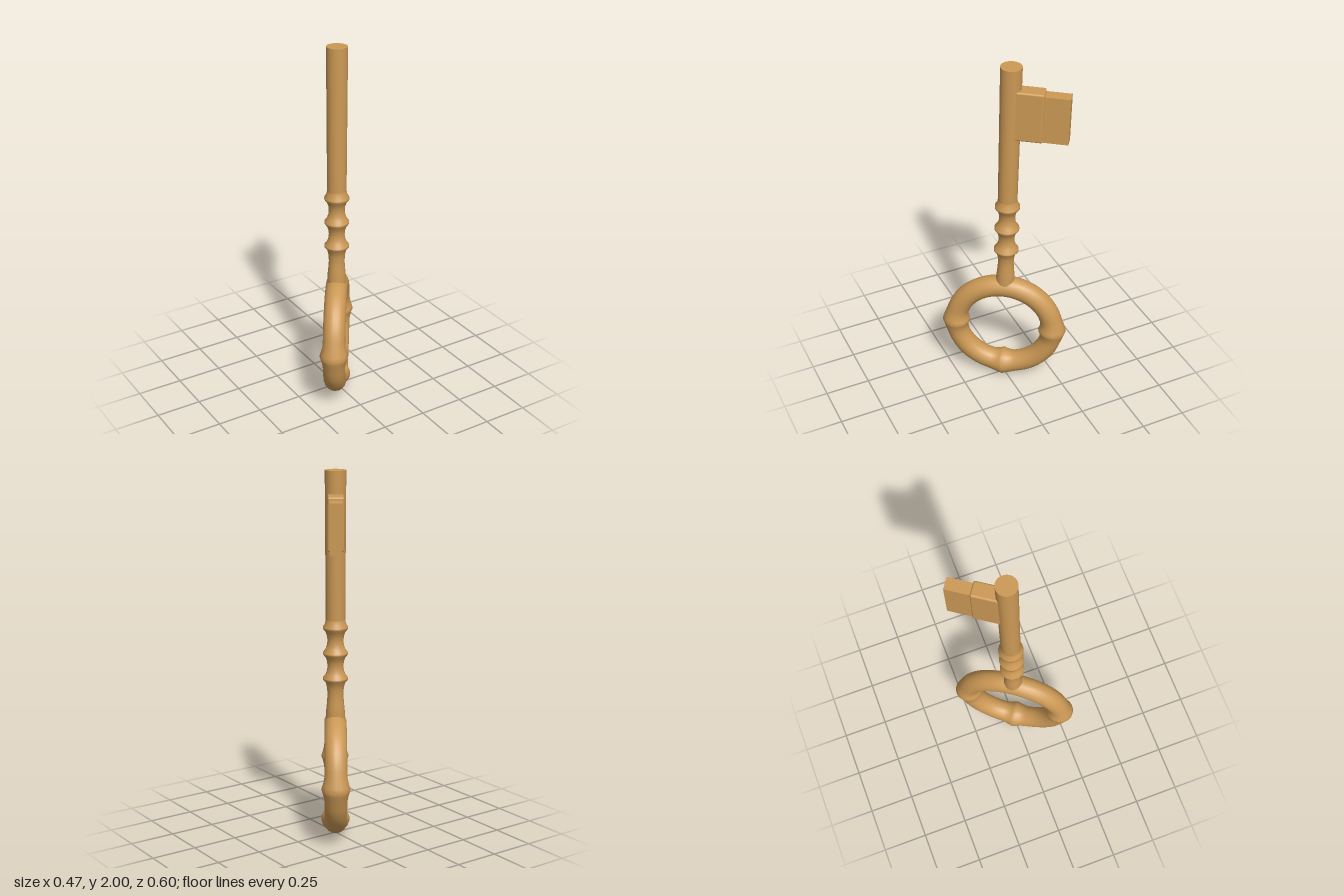
import * as THREE from 'three';
import { mergeVertices } from 'three/addons/utils/BufferGeometryUtils.js';
import { RoundedBoxGeometry } from 'three/addons/geometries/RoundedBoxGeometry.js';

const RING_Y = 0.353, RING_R = 0.274, TUBE_R = 0.061, COLLAR_R = 0.078;

// Torus whose tube flares into ridged collars at both sides and the bottom
function ringGeometry() {
  let g = new THREE.TorusGeometry(RING_R, TUBE_R, 18, 96);
  g.deleteAttribute('uv');
  g.deleteAttribute('normal');
  g = mergeVertices(g, 1e-5);
  const p = g.attributes.position;
  const v = new THREE.Vector3(), c = new THREE.Vector3();
  for (let i = 0; i < p.count; i++) {
    v.fromBufferAttribute(p, i);
    const a = Math.atan2(v.y, v.x);
    c.set(Math.cos(a) * RING_R, Math.sin(a) * RING_R, 0);
    let flare = 0;
    for (const k of [0, Math.PI, -Math.PI / 2]) {
      const d = Math.abs(Math.atan2(Math.sin(a - k), Math.cos(a - k)));
      flare = Math.max(flare, Math.max(0, 1 - d / 0.3) ** 1.8);
    }
    v.sub(c).multiplyScalar(1 + (COLLAR_R / TUBE_R - 1) * flare).add(c);
    p.setXYZ(i, v.x, v.y, v.z);
  }
  g.computeVertexNormals();
  return g;
}

// Turned lower stem: concave spans between three sharp ridges
function stemGeometry() {
  const pts = [[0.051, 0.62], [0.051, 0.7], [0.047, 0.74], [0.043, 0.79], [0.045, 0.83], [0.052, 0.862]];
  for (const y of [0.885, 1.025]) {
    pts.push([0.067, y - 0.005], [0.067, y + 0.005], [0.053, y + 0.024], [0.045, y + 0.048],
      [0.043, y + 0.07], [0.045, y + 0.092], [0.053, y + 0.117]);
  }
  pts.push([0.067, 1.16], [0.067, 1.17], [0.056, 1.188], [0.052, 1.21]);
  return new THREE.LatheGeometry(pts.map(([r, y]) => new THREE.Vector2(r, y)), 32);
}

export function createModel() {
  const model = new THREE.Group();
  model.name = 'key';
  const brass = new THREE.MeshStandardMaterial({ color: 0xcc9955 });

  // Key leans slightly about the ring's centre, within its own plane
  const body = new THREE.Group();
  body.name = 'keyBody';
  body.position.y = RING_Y;
  body.rotation.z = -0.0225;
  model.add(body);

  const add = (name, geometry, x, y) => {
    const mesh = new THREE.Mesh(geometry, brass);
    mesh.name = name;
    mesh.position.set(x, y - RING_Y, 0);
    body.add(mesh);
  };

  // Bow and stem
  add('bowRing', ringGeometry(), 0, RING_Y);
  add('turnedStem', stemGeometry(), 0, 0);
  add('shaft', new THREE.CylinderGeometry(0.056, 0.052, 0.79, 32), 0, 1.605);

  // Stepped bit
  add('bitInner', new RoundedBoxGeometry(0.175, 0.28, 0.086, 3, 0.01), 0.0875, 1.74);
  add('bitOuter', new THREE.BoxGeometry(0.17, 0.262, 0.066), 0.221, 1.734);

  // The key's plane is turned away from the front
  model.rotation.y = 0.961;
  return model;
}
